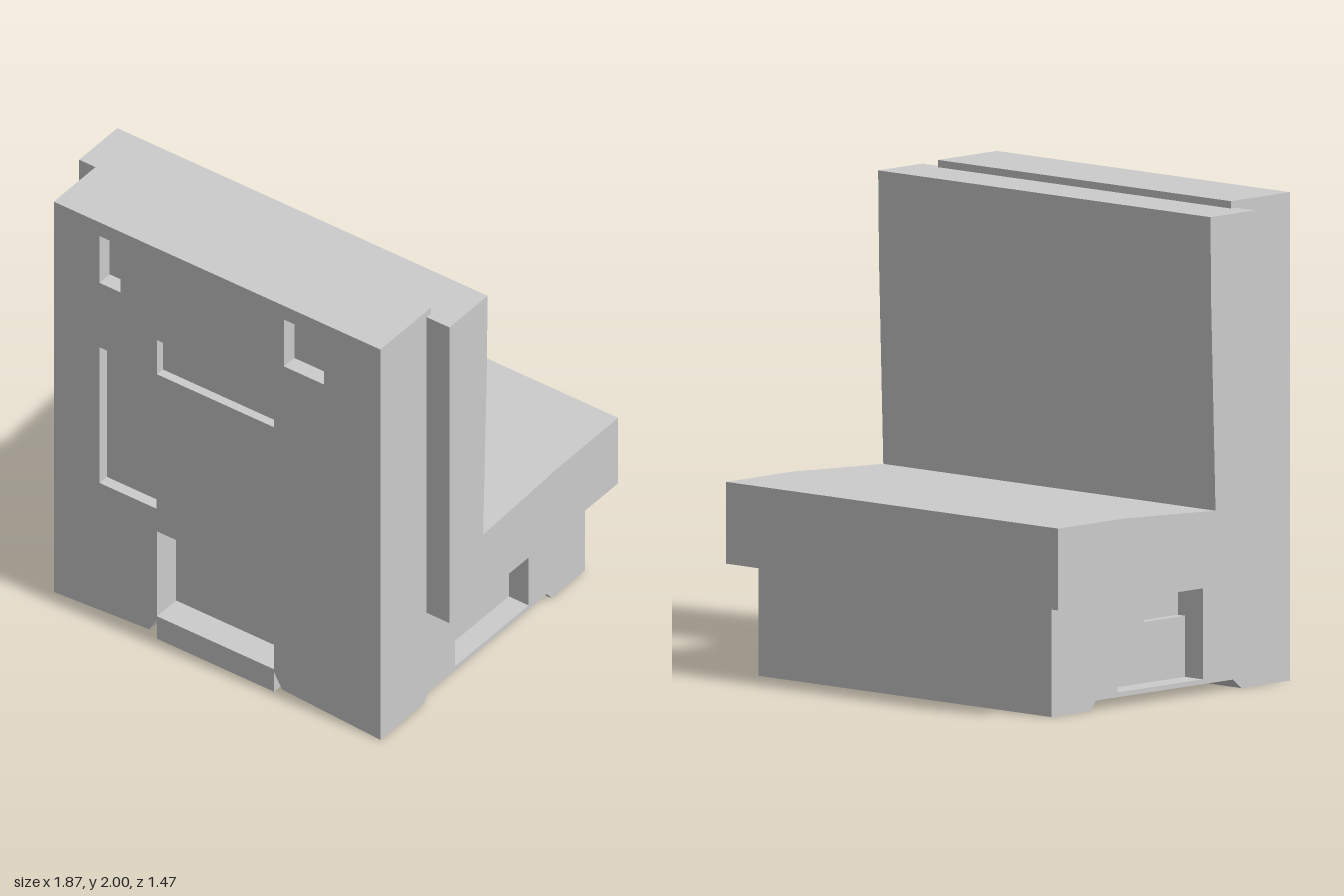
import * as THREE from 'three';

const X0 = -0.83, X1 = 0.815;      // shell width
const BACK = 0.735, LIP = 0.39, FRONT = -0.66; // shell depth stations
const SEAT_Y = 0.455;
const material = new THREE.MeshStandardMaterial({ color: 0xcccccc, flatShading: true });

export function createModel() {
  const model = new THREE.Group();
  const add = (name, geometry, parent = model) => {
    const mesh = new THREE.Mesh(geometry, material);
    mesh.name = name;
    parent.add(mesh);
    return mesh;
  };
  const outline = (points) => new THREE.Shape(points.map(([x, y]) => new THREE.Vector2(x, y)));

  // Recess lining: an inside-out box without the faces listed in open
  // (face order: +x, -x, +y, -y, +z, -z)
  const recess = (x0, x1, y0, y1, z0, z1, open) => {
    const g = new THREE.BoxGeometry(x1 - x0, y1 - y0, z1 - z0);
    const source = g.index.array, index = [];
    for (let i = 0; i < source.length; i += 3) {
      if (open.includes(Math.floor(i / 6))) continue;
      index.push(source[i], source[i + 2], source[i + 1]);
    }
    g.setIndex(index);
    g.clearGroups();
    g.translate((x0 + x1) / 2, (y0 + y1) / 2, (z0 + z1) / 2);
    g.computeVertexNormals();
    return g;
  };

  // L-shaped cushion
  const profile = outline([
    [-0.42, SEAT_Y], [0.73, SEAT_Y], [0.73, 0.79], [0.34, 0.79],
    [-0.19, 0.765], [-0.165, 1.6], [-0.16, 1.97], [-0.42, 1.97],
  ]);
  const cushion = new THREE.ExtrudeGeometry(profile, { depth: 1.865, bevelEnabled: false });
  cushion.rotateY(Math.PI / 2).translate(-0.935, 0, 0);
  add('cushion', cushion);

  const shell = new THREE.Group();
  shell.name = 'shell';
  model.add(shell);

  // Rear wall with its pockets: x0, x1, y0, y1, depth
  const pockets = [
    [-0.6, -0.495, 1.69, 1.93, 0.07],
    [0.33, 0.53, 1.69, 1.93, 0.07],
    [-0.31, 0.28, 1.355, 1.53, 0.04],
    [-0.6, -0.312, 0.665, 1.36, 0.05],
    [-0.31, 0.28, 0.115, 0.55, 0.13],
  ];
  const rear = outline([
    [X0, 0], [-0.35, 0.03], [-0.31, 0.1], [-0.31, 0], [0.28, 0],
    [0.28, 0.1], [0.32, 0.03], [X1, 0], [X1, 2], [X0, 2],
  ]);
  for (const [a, b, c, d, depth] of pockets) {
    rear.holes.push(outline([[a, c], [a, d], [b, d], [b, c]]));
    add('rearPocket', recess(a, b, c, d, BACK - depth, BACK, [4]), shell);
  }
  add('rearWall', new THREE.ShapeGeometry(rear).translate(0, 0, BACK), shell);

  // Side walls, notched under the seat and raised along the floor
  const side = [
    [BACK, 0], [0.45, 0], [0.4, 0.04], [-0.4, 0.04], [-0.43, 0], [FRONT, 0],
    [FRONT, SEAT_Y], [-0.275, SEAT_Y], [-0.275, 0.06], [0.225, 0.06],
    [0.225, SEAT_Y], [LIP, SEAT_Y], [LIP, 2], [BACK, 2],
  ];
  for (const s of [1, -1]) {
    const wallX = s > 0 ? X1 : X0;
    const wall = new THREE.ShapeGeometry(outline(side.map(([z, y]) => [-s * z, y])));
    add('sideWall', wall.rotateY(s * Math.PI / 2).translate(wallX, 0, 0), shell);

    // Two-step side recess: a shallow back plate around a deeper corner
    const mid = wallX - s * 0.1, deep = wallX - s * 0.14;
    const span = (a, b) => [Math.min(a, b), Math.max(a, b)];
    const outer = s > 0 ? 0 : 1;
    add('sideRecess', recess(...span(wallX, mid), 0.06, SEAT_Y, -0.275, 0.225, [0, 1]), shell);
    add('deepRecess', recess(...span(mid, deep), 0.31, SEAT_Y, -0.015, 0.225, [outer]), shell);
    const plate = outline([
      [0.225, 0.06], [-0.275, 0.06], [-0.275, SEAT_Y],
      [-0.015, SEAT_Y], [-0.015, 0.31], [0.225, 0.31],
    ].map(([z, y]) => [-s * z, y]));
    add('recessPlate', new THREE.ShapeGeometry(plate)
      .rotateY(s * Math.PI / 2).translate(mid, 0, 0), shell);
  }

  // Plain faces of the shell and pedestal
  const width = X1 - X0, cx = (X0 + X1) / 2;
  add('shellTop', new THREE.PlaneGeometry(width, BACK - LIP)
    .rotateX(-Math.PI / 2).translate(cx, 2, (BACK + LIP) / 2), shell);
  add('shellInnerFace', new THREE.PlaneGeometry(width, 2 - SEAT_Y)
    .rotateY(Math.PI).translate(cx, 1 + SEAT_Y / 2, LIP), shell);
  add('pedestalFront', new THREE.PlaneGeometry(width, SEAT_Y)
    .rotateY(Math.PI).translate(cx, SEAT_Y / 2, FRONT), shell);

  // Floor: flat in the middle, rising to the notches at the sides and rear
  const xs = [X0, -0.55, -0.35, -0.31, -0.31, 0.28, 0.28, 0.32, 0.55, X1];
  const rearY = [0, 0.0175, 0.03, 0.1, 0, 0, 0.1, 0.03, 0.016, 0];
  const zs = [BACK, 0.45, 0.4, -0.4, -0.43, FRONT];
  const floor = new THREE.PlaneGeometry(1, 1, xs.length - 1, zs.length - 1).rotateX(Math.PI / 2);
  zs.forEach((z, r) => xs.forEach((x, c) => {
    const atSide = c === 0 || c === xs.length - 1;
    const y = r === 0 ? rearY[c] : atSide && Math.abs(z) === 0.4 ? 0.04 : 0;
    floor.attributes.position.setXYZ(r * xs.length + c, x, y, z);
  }));
  floor.computeVertexNormals();
  add('floor', floor, shell);

  return model;
}
